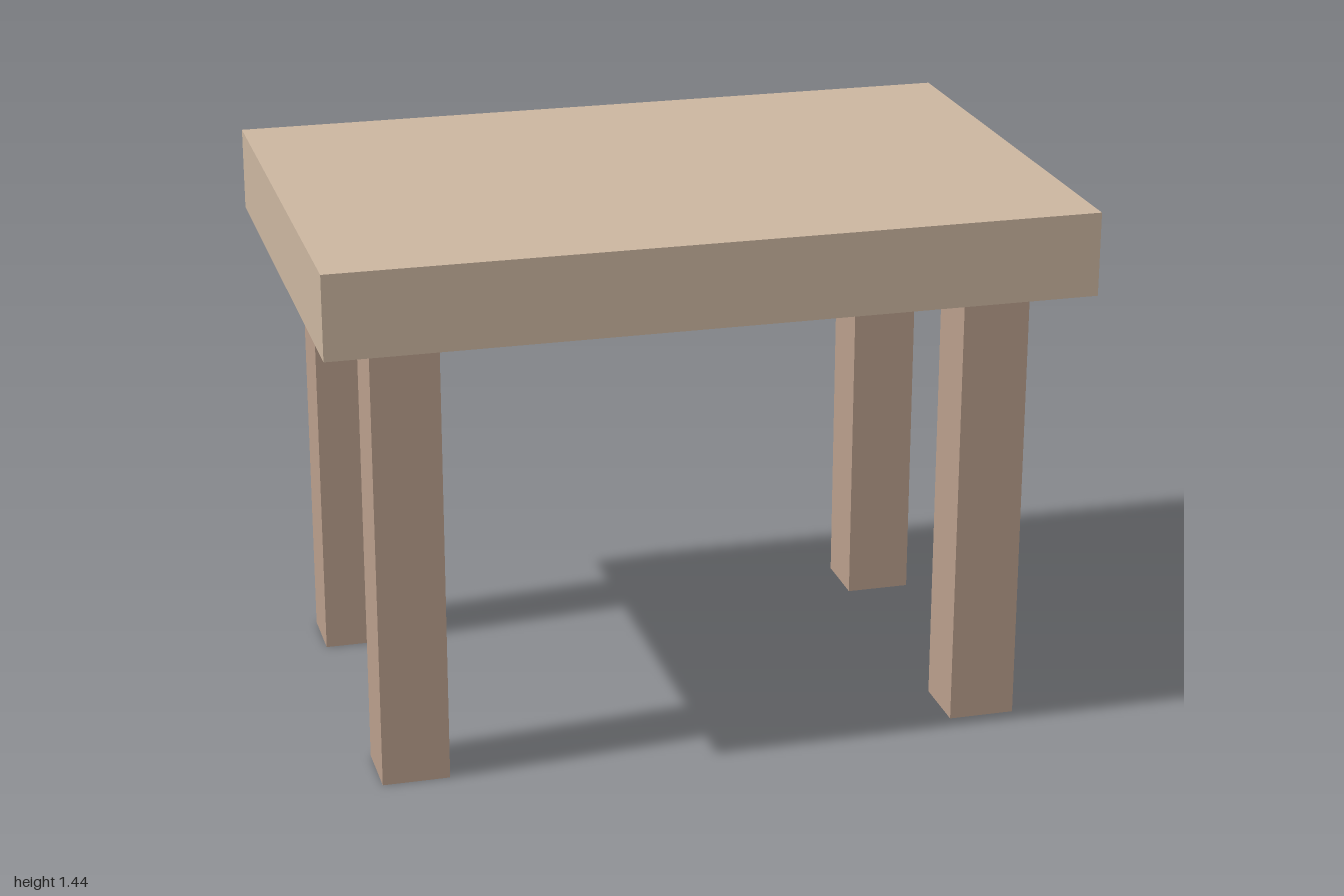
import * as THREE from 'three';

// Plain table: thick slab top on four square legs
const LEG_HEIGHT = 1.222, LEG_WIDTH = 0.178, TOP_THICKNESS = 0.222;

export function createModel() {
  const table = new THREE.Group();
  table.name = 'table';
  const topMaterial = new THREE.MeshStandardMaterial({ color: 0xcbb6a0 });
  const legMaterial = new THREE.MeshStandardMaterial({ color: 0xb99f8c });

  // Slab top
  const top = new THREE.Mesh(new THREE.BoxGeometry(2, TOP_THICKNESS, 1.333), topMaterial);
  top.name = 'tableTop';
  top.position.y = LEG_HEIGHT + TOP_THICKNESS / 2;
  table.add(top);

  // Four legs, mirrored in x and z
  const legGeometry = new THREE.BoxGeometry(LEG_WIDTH, LEG_HEIGHT, LEG_WIDTH);
  for (const [side, sx] of [['Left', 1], ['Right', -1]]) {
    for (const [end, sz] of [['front', 1], ['back', -1]]) {
      const leg = new THREE.Mesh(legGeometry, legMaterial);
      leg.name = `${end}${side}Leg`;
      leg.position.set(sx * 0.778, LEG_HEIGHT / 2, sz * 0.444);
      table.add(leg);
    }
  }
  return table;
}
